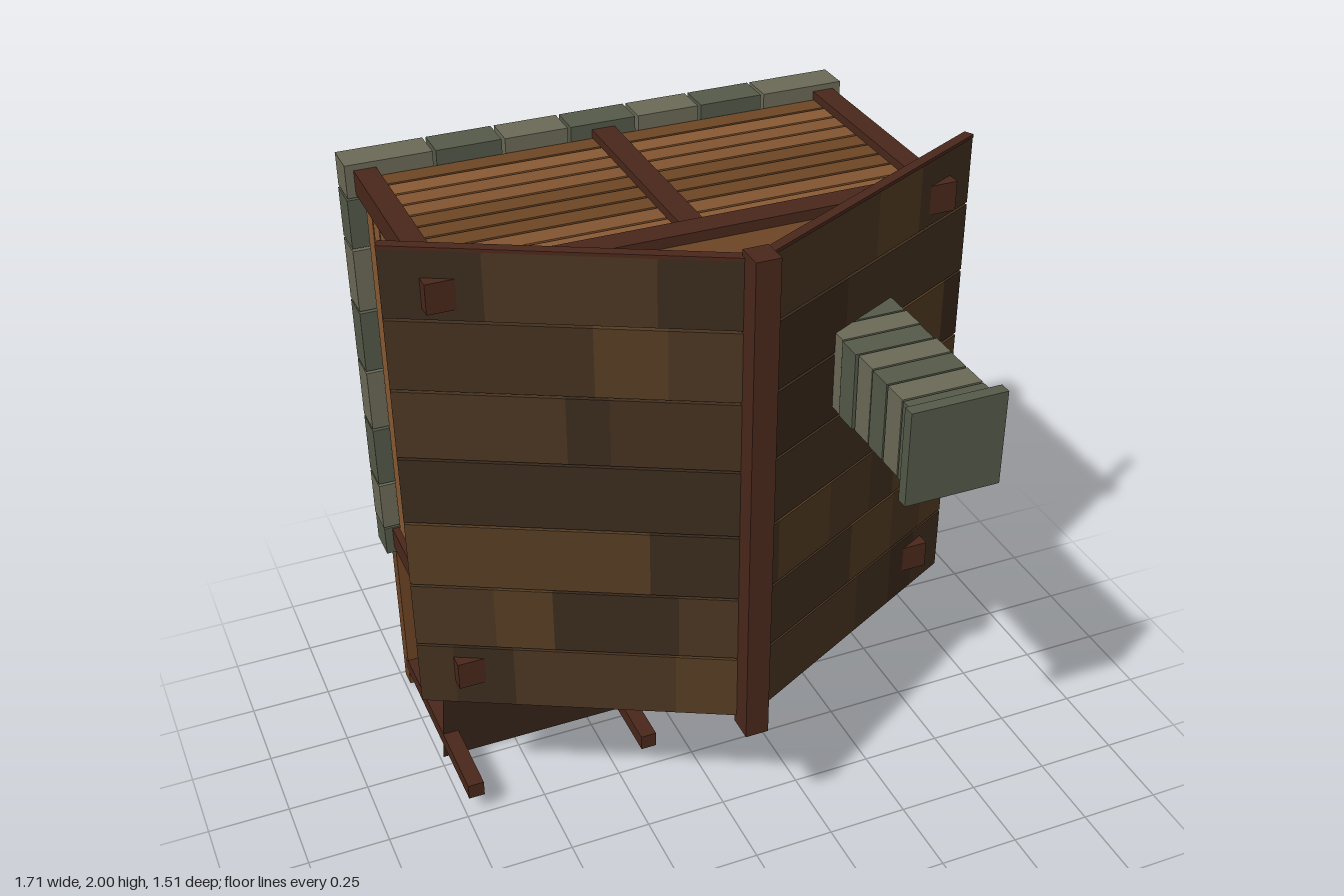
import * as THREE from 'three';

const mat = (color) => new THREE.MeshStandardMaterial({ color, flatShading: true });
const BEAM = mat(0x4a281c), DARK = mat(0x3d2b20), FLOOR = mat(0x6e4526), PANE = mat(0x2c2a22);
const PLANKS = [mat(0x8a5a33), mat(0x6e4726), mat(0x825530)];
const STONES = [mat(0x6b6a58), mat(0x555a4a), mat(0x606252)];
const ROOF = [mat(0x4a3421), mat(0x3a2a1d), mat(0x553c23), mat(0x43301f)];

export function createModel() {
  const model = new THREE.Group();
  let seed = 7;
  const rnd = () => (seed = (seed * 16807) % 2147483647) / 2147483647;
  const pick = (list) => list[Math.floor(rnd() * list.length)];

  const section = (name) => {
    const g = new THREE.Group();
    g.name = name;
    model.add(g);
    return g;
  };
  // Box given by its limits on each axis
  const box = (parent, name, x0, x1, y0, y1, z0, z1, material) => {
    const m = new THREE.Mesh(new THREE.BoxGeometry(x1 - x0, y1 - y0, z1 - z0), material);
    m.position.set((x0 + x1) / 2, (y0 + y1) / 2, (z0 + z1) / 2);
    m.name = name;
    parent.add(m);
    return m;
  };

  // Timber frame: corner posts, plates under the eaves, middle post, ridge
  const frame = section('timberFrame');
  for (const y of [0.588, 1.815]) {
    for (const s of [-1, 1]) {
      box(frame, 'cornerPost', s * 0.7125 - 0.0325, s * 0.7125 + 0.0325, y, y + 0.072, -0.67, 0.02, BEAM);
    }
    box(frame, 'wallPlate', -0.76, 0.76, y - 0.007, y + 0.08, 0.005, 0.08, BEAM);
  }
  box(frame, 'middlePost', -0.035, 0.035, 1.815, 1.887, -0.655, 0.01, BEAM);
  for (const s of [-1, 1]) {
    box(frame, 'doorPost', s * 0.195 - 0.025, s * 0.195 + 0.025, 0.588, 0.65, -0.655, 0.01, BEAM);
  }
  box(frame, 'doorLintel', -0.17, 0.17, 0.588, 0.65, -0.09, -0.04, BEAM);
  box(frame, 'ridgeBeam', -0.035, 0.035, 0.47, 2, 0.4, 0.48, BEAM);

  // Plank walls; the lower one leaves a doorway
  const walls = section('plankWalls');
  for (let i = 0; i < 9; i++) {
    const z1 = -0.02 - i * 0.071, z0 = z1 - 0.062;
    box(walls, 'upperWallPlank', -0.69, 0.69, 1.84, 1.862, z0, z1, pick(PLANKS));
    if (i === 0) {
      box(walls, 'lowerWallPlank', -0.69, 0.69, 0.61, 0.632, z0, z1, pick(PLANKS));
    } else {
      box(walls, 'lowerWallPlank', -0.69, -0.2, 0.61, 0.632, z0, z1, pick(PLANKS));
      box(walls, 'lowerWallPlank', 0.2, 0.69, 0.61, 0.632, z0, z1, pick(PLANKS));
    }
    for (const s of [-1, 1]) {
      box(walls, 'sideWallPlank', s * 0.713 - 0.011, s * 0.713 + 0.011, 0.65, 1.825, z0 + 0.01, z1 + 0.01, pick(PLANKS));
    }
  }

  // Triangular gables (drawn in x, z and laid flat)
  const tri = new THREE.Shape([new THREE.Vector2(-0.7, 0.05), new THREE.Vector2(0.7, 0.05), new THREE.Vector2(0, 0.41)]);
  for (const y of [0.64, 1.865]) {
    const gable = new THREE.Mesh(new THREE.ExtrudeGeometry(tri, { depth: 0.025, bevelEnabled: false }), FLOOR);
    gable.rotation.x = Math.PI / 2;
    gable.position.y = y;
    gable.name = 'gable';
    model.add(gable);
  }

  // Two roof slopes of boards, each board patched from strips of varied tone
  const slope = Math.atan2(0.44, 0.85), length = Math.hypot(0.44, 0.85);
  for (const s of [-1, 1]) {
    const side = section(s > 0 ? 'leftRoof' : 'rightRoof');
    side.position.z = 0.425;
    side.rotation.y = s * slope;
    for (let row = 0; row < 7; row++) {
      const y0 = 0.5 + row * 0.2125;
      let a = 0;
      while (a < length) {
        let b = a + 0.1 + rnd() * 0.2;
        if (length - b < 0.08) b = length;
        box(side, 'roofBoard', Math.min(s * a, s * b), Math.max(s * a, s * b), y0, y0 + 0.205, -0.008, 0.006, pick(ROOF));
        a = b;
      }
    }
    box(side, 'roofTrim', s > 0 ? 0 : -length, s > 0 ? length : 0, 1.972, 1.982, -0.022, 0.008, BEAM);
  }

  // Chimney of stacked stones with a wider cap
  const chimney = section('chimney');
  for (let i = 0; i < 8; i++) {
    const z = 0.075 + i * 0.0825, j = (rnd() - 0.5) * 0.012;
    box(chimney, 'chimneyStone', 0.302 + j, 0.535 + j, 1.39, 1.622, z, Math.min(z + 0.076, 0.718), STONES[i % 2]);
  }
  box(chimney, 'chimneyCap', 0.272, 0.55, 1.368, 1.648, 0.715, 0.75, STONES[1]);

  // Stone footing around the open base, with a gap at the doorway
  const footing = section('stoneFooting');
  const edges = [-0.775, -0.51, -0.305, -0.105, 0.105, 0.305, 0.51, 0.775];
  for (let i = 0; i < 7; i++) {
    const x0 = edges[i] + 0.005, x1 = edges[i + 1] - 0.005;
    box(footing, 'footingStone', x0, x1, 1.805, 1.905, -0.757, -0.655, STONES[i % 2]);
    if (i !== 3) box(footing, 'footingStone', x0, x1, 0.57, 0.665, -0.757, -0.655, STONES[(i + 1) % 2]);
  }
  const levels = [0.667, 0.832, 1.035, 1.238, 1.441, 1.644, 1.803];
  for (const s of [-1, 1]) {
    for (let i = 0; i < 6; i++) {
      box(footing, 'footingStone', s * 0.72 - 0.052, s * 0.72 + 0.052, levels[i] + 0.004, levels[i + 1] - 0.004, -0.755, -0.655, STONES[i % 2]);
    }
  }

  // Porch: deck, two posts and a thin sloping roof
  const porch = section('porch');
  box(porch, 'porchDeck', -0.74, -0.12, 0.02, 0.585, -0.715, -0.66, FLOOR);
  for (const x of [-0.74, -0.17]) box(porch, 'porchPost', x, x + 0.05, 0.068, 0.118, -0.69, -0.005, BEAM);
  const sheet = new THREE.Mesh(
    new THREE.PlaneGeometry(0.62, Math.hypot(0.59, 0.13)),
    new THREE.MeshStandardMaterial({ color: 0x3d2b20, side: THREE.DoubleSide })
  );
  sheet.rotation.x = Math.atan2(0.13, 0.59);
  sheet.position.set(-0.43, 0.295, -0.225);
  sheet.name = 'porchRoof';
  porch.add(sheet);

  // Stone steps
  const steps = section('steps');
  box(steps, 'upperStep', -0.12, 0.288, 0.35, 0.57, -0.715, -0.66, STONES[1]);
  box(steps, 'lowerStep', -0.32, 0.288, 0.245, 0.492, -0.75, -0.706, STONES[1]);

  // Window with glazing bars and a sill box
  const win = section('window');
  box(win, 'windowPane', 0.28, 0.6, 0.572, 0.61, -0.4, -0.1, PANE);
  for (const x of [0.265, 0.42, 0.575]) box(win, 'windowUpright', x, x + 0.035, 0.535, 0.59, -0.41, -0.09, BEAM);
  for (const z of [-0.41, -0.265, -0.122]) box(win, 'windowRail', 0.265, 0.61, 0.538, 0.588, z, z + 0.032, BEAM);
  box(win, 'windowSill', 0.262, 0.613, 0.46, 0.585, -0.45, -0.411, PLANKS[0]);

  return model;
}
